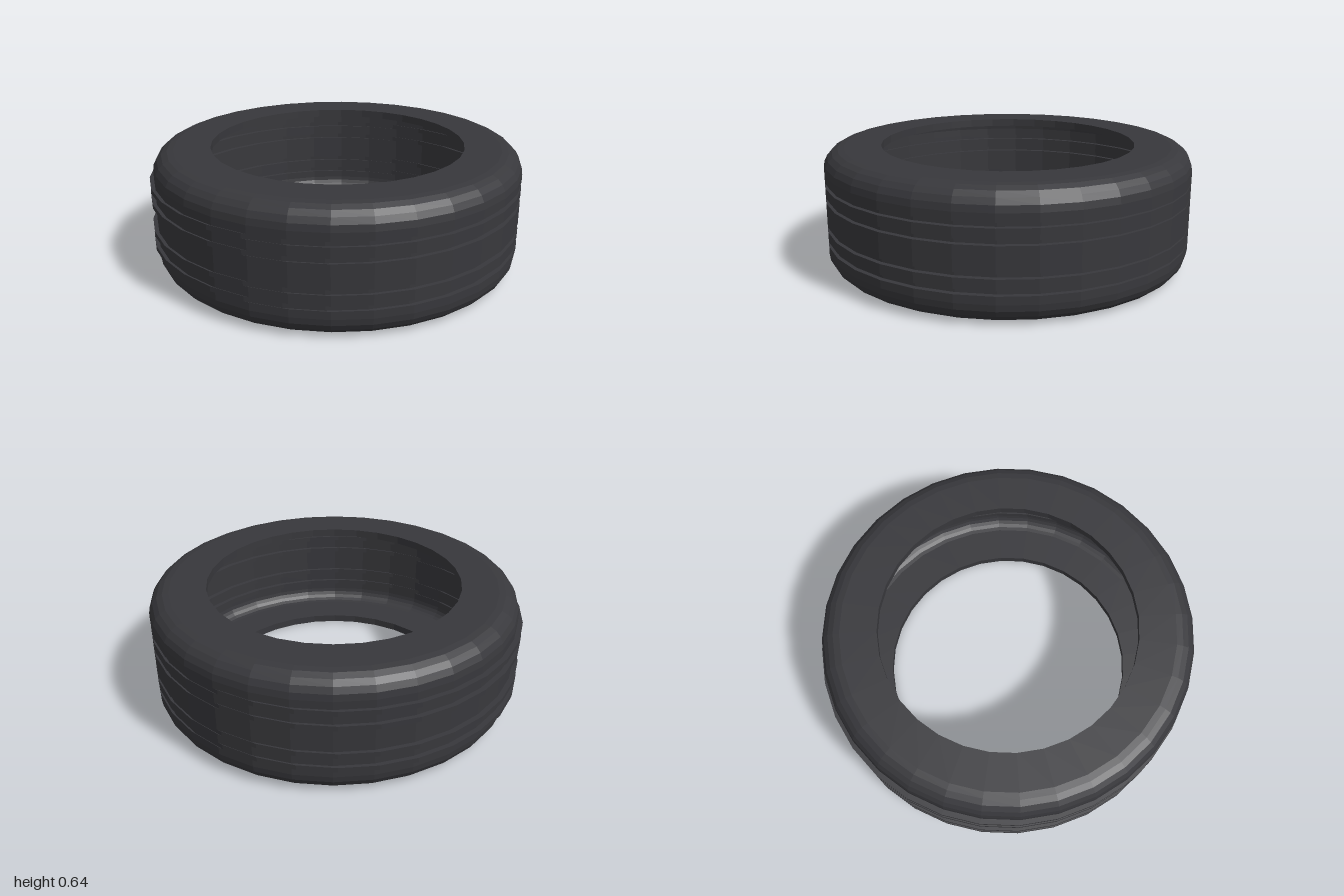
import * as THREE from 'three';

const SIDES = 32;
const HEIGHT = 0.645;
const OUTER = 0.9875;   // tread radius
const HOLE = 0.683;     // bead radius
const WALL = 0.042;     // rubber thickness
const CORNER = 0.11;    // shoulder radius
const BANDS = [0.165, 0.245, 0.4, 0.48]; // heights of the tread bands
const BAND_HALF = 0.013;
const BAND_SHIFT = new THREE.Vector3(-0.025, 0, -0.01); // bands sit off-centre

// One skin of the tyre, bead to bead, from bottom to top; inset moves it inward.
function skin(inset) {
  const rows = [];
  const add = (r, y, shifted = false) => rows.push({ r, y, shifted });
  const radius = CORNER - inset;
  const steps = 5;

  add(HOLE, inset);
  for (let i = 0; i <= steps; i++) {
    const a = (i / steps) * Math.PI / 2;
    add(OUTER - CORNER + radius * Math.sin(a), CORNER - radius * Math.cos(a));
  }
  // Each band is a ring of the wall slid sideways, joined by flat steps
  for (const y of BANDS) {
    const r = OUTER - inset;
    add(r, y - BAND_HALF);
    add(r, y - BAND_HALF, true);
    add(r, y + BAND_HALF, true);
    add(r, y + BAND_HALF);
  }
  for (let i = 0; i <= steps; i++) {
    const a = (i / steps) * Math.PI / 2;
    add(OUTER - CORNER + radius * Math.cos(a), HEIGHT - CORNER + radius * Math.sin(a));
  }
  add(HOLE, HEIGHT - inset);
  return rows;
}

export function createModel() {
  const group = new THREE.Group();
  group.name = 'tyre';

  // Closed hollow profile: up the outside, down the inside, back to the start
  const rows = [...skin(0), ...skin(WALL).reverse()];
  rows.push({ ...rows[0] });

  const lathe = new THREE.LatheGeometry(rows.map(p => new THREE.Vector2(p.r, p.y)), SIDES);
  const pos = lathe.attributes.position;
  for (let i = 0; i < pos.count; i++) {
    if (!rows[i % rows.length].shifted) continue;
    pos.setXYZ(i, pos.getX(i) + BAND_SHIFT.x, pos.getY(i), pos.getZ(i) + BAND_SHIFT.z);
  }
  const geometry = lathe.toNonIndexed();
  geometry.computeVertexNormals();
  // Centre the overall width and depth
  geometry.translate(-BAND_SHIFT.x / 2, 0, -BAND_SHIFT.z / 2);

  const rubber = new THREE.MeshStandardMaterial({ color: 0x38383c, flatShading: true });
  const tyre = new THREE.Mesh(geometry, rubber);
  tyre.name = 'tyreCasing';
  group.add(tyre);
  return group;
}
